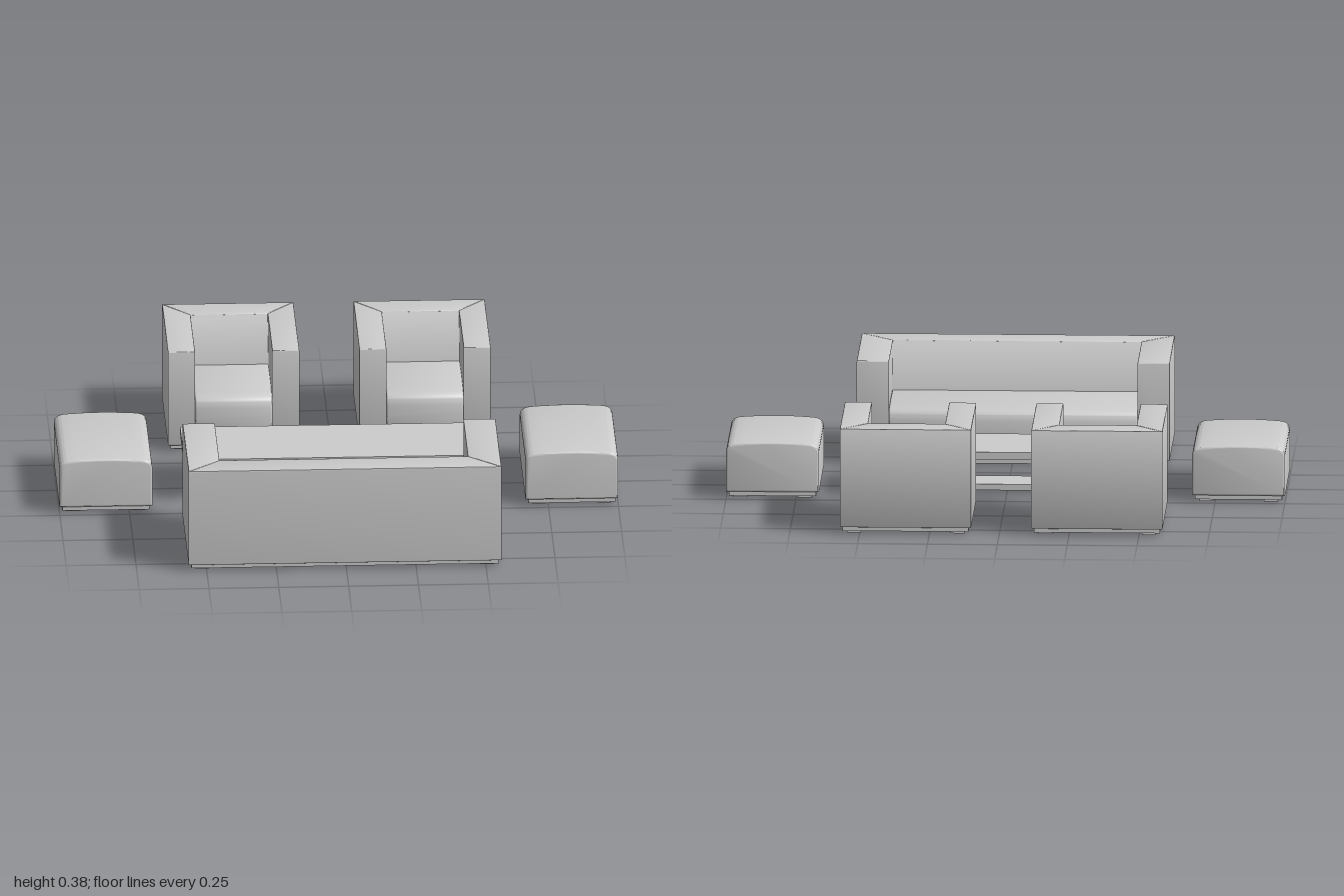
import * as THREE from 'three';
import { toCreasedNormals } from 'three/addons/utils/BufferGeometryUtils.js';

const material = new THREE.MeshStandardMaterial({ color: 0xcccccc });

function add(parent, name, geometry, x = 0, y = 0, z = 0) {
  const mesh = new THREE.Mesh(geometry, material);
  mesh.name = name;
  mesh.position.set(x, y, z);
  parent.add(mesh);
  return mesh;
}

const box = (w, h, d) => new THREE.BoxGeometry(w, h, d);

// Bevelled extrusion that keeps its outer size, centred along its depth
function softExtrude(shape, depth, bevel) {
  const g = new THREE.ExtrudeGeometry(shape, {
    depth: depth - 2 * bevel, bevelEnabled: bevel > 0, bevelThickness: bevel,
    bevelSize: bevel, bevelOffset: -bevel, bevelSegments: 3, curveSegments: 10,
  });
  g.translate(0, 0, -(depth - 2 * bevel) / 2);
  return toCreasedNormals(g, 0.6);
}

// Upright block over a floor outline of [x, z] points
function block(points, y0, y1) {
  const shape = new THREE.Shape(points.map(([x, z]) => new THREE.Vector2(x, -z)));
  return softExtrude(shape, y1 - y0, 0.004).rotateX(-Math.PI / 2).translate(0, (y0 + y1) / 2, 0);
}

// Plinth and four feet
function addBase(parent, w, d) {
  add(parent, 'plinth', box(w - 0.02, 0.017, d - 0.02), 0, 0.0185, 0);
  for (const sx of [-1, 1]) for (const sz of [-1, 1])
    add(parent, 'foot', box(0.05, 0.012, 0.05), sx * (w / 2 - 0.05), 0.006, sz * (d / 2 - 0.055));
}

// Boxy upholstered seat facing +z, with mitred arms and back
function createSeating(name, w, d, arm, back) {
  const group = new THREE.Group();
  group.name = name;
  const X = w / 2, Z = d / 2, inX = X - arm, inZ = -Z + back;
  const y0 = 0.025, top = 0.384;

  for (const s of [-1, 1])
    add(group, s > 0 ? 'leftArm' : 'rightArm',
      block([[s * X, -Z], [s * X, Z], [s * inX, Z], [s * inX, inZ]], y0, top));
  add(group, 'back', block([[-X, -Z], [X, -Z], [inX, inZ], [-inX, inZ]], y0, top));

  // Sloping back rest
  const rest = new THREE.Shape();
  rest.moveTo(inZ - 0.01, 0.15);
  rest.lineTo(inZ + 0.075, 0.15);
  rest.lineTo(inZ + 0.065, 0.21);
  rest.quadraticCurveTo(inZ + 0.045, 0.3, inZ, top - 0.003);
  rest.lineTo(inZ - 0.01, top - 0.003);
  add(group, 'backRest', softExtrude(rest, inX * 2, 0).rotateY(-Math.PI / 2));

  // Seat cushion with a rounded, slightly bulging front
  const seat = new THREE.Shape();
  seat.moveTo(inZ, y0);
  seat.lineTo(Z, y0);
  seat.quadraticCurveTo(Z + 0.022, 0.1, Z + 0.006, 0.185);
  seat.quadraticCurveTo(Z, 0.206, Z - 0.03, 0.21);
  seat.quadraticCurveTo((Z + inZ) / 2, 0.224, inZ, 0.21);
  add(group, 'seatCushion', softExtrude(seat, inX * 2, 0.006).rotateY(-Math.PI / 2));

  addBase(group, w, d);
  return group;
}

// Low stool with a crowned top
function createOttoman(w, d) {
  const group = new THREE.Group();
  group.name = 'ottoman';
  const X = w / 2;
  const s = new THREE.Shape();
  s.moveTo(-X, 0.025);
  s.lineTo(X, 0.025);
  s.lineTo(X, 0.17);
  s.quadraticCurveTo(X, 0.198, X - 0.035, 0.202);
  s.quadraticCurveTo(0, 0.213, -X + 0.035, 0.202);
  s.quadraticCurveTo(-X, 0.198, -X, 0.17);
  add(group, 'cushion', softExtrude(s, d, 0.008));
  addBase(group, w, d);
  return group;
}

// Coffee table: overhanging top on an open box frame
function createTable() {
  const group = new THREE.Group();
  group.name = 'coffeeTable';
  add(group, 'tableTop', box(1.09, 0.028, 0.325), 0, 0.151, 0);
  add(group, 'lowerShelf', box(0.86, 0.022, 0.15), 0, 0.019, 0);
  for (const s of [-1, 1]) {
    add(group, 'endPanel', box(0.022, 0.12, 0.15), s * 0.419, 0.08, 0);
    for (const z of [-0.045, 0.045])
      add(group, 'tableFoot', box(0.04, 0.01, 0.04), s * 0.4, 0.005, z);
  }
  return group;
}

export function createModel() {
  const model = new THREE.Group();
  model.name = 'loungeSet';

  const sofa = createSeating('sofa', 1.12, 0.48, 0.115, 0.11);
  sofa.rotation.y = Math.PI;
  sofa.position.set(-0.005, 0, 0.592);
  model.add(sofa);

  for (const x of [-0.35, 0.335]) {
    const chair = createSeating('armchair', 0.47, 0.477, 0.097, 0.107);
    chair.position.set(x, 0, -0.598);
    model.add(chair);
  }

  for (const s of [-1, 1]) {
    const ottoman = createOttoman(0.332, 0.478);
    ottoman.position.set(s * 0.834, 0, 0);
    model.add(ottoman);
  }

  const table = createTable();
  table.position.set(-0.005, 0, -0.017);
  model.add(table);
  return model;
}
